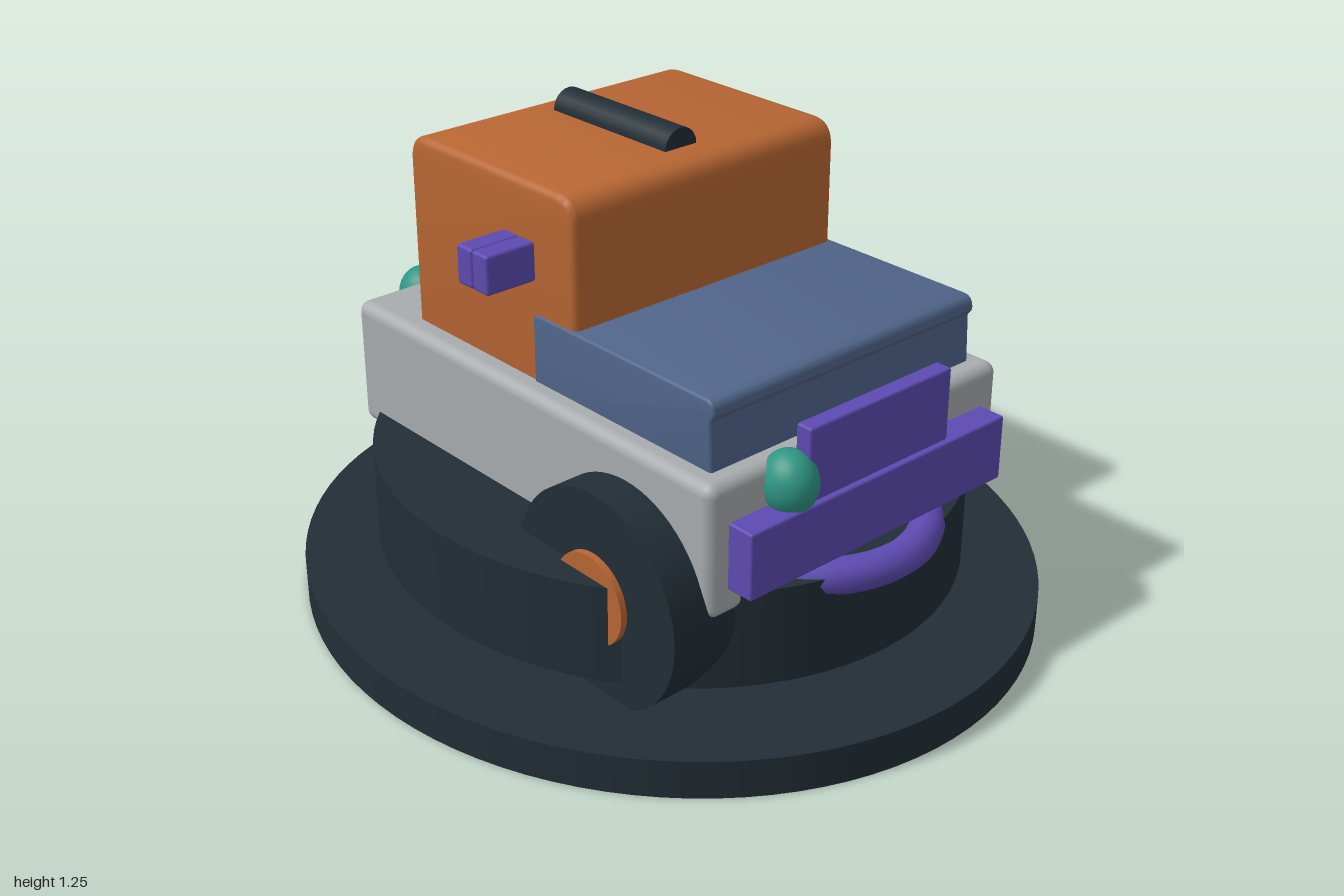
import * as THREE from 'three';
import { toCreasedNormals } from 'three/addons/utils/BufferGeometryUtils.js';
import { RoundedBoxGeometry } from 'three/addons/geometries/RoundedBoxGeometry.js';

export function createModel() {
  const root = new THREE.Group();
  root.name = 'carOnStand';

  const paint = (name, color) => {
    const m = new THREE.MeshStandardMaterial({ color });
    m.name = name;
    return m;
  };
  const dark = paint('charcoal', 0x222e36);
  const orange = paint('orange', 0xb86633);
  const blue = paint('slate blue', 0x50658a);
  const grey = paint('light grey', 0xa8acaf);
  const purple = paint('purple', 0x5d4bb2);
  const teal = paint('teal', 0x2f9583);

  const add = (name, geometry, material, x = 0, y = 0, z = 0) => {
    const mesh = new THREE.Mesh(geometry, material);
    mesh.name = name;
    mesh.position.set(x, y, z);
    root.add(mesh);
    return mesh;
  };

  // Profile in x/y, extruded along z with a small soft bevel
  const extrudeZ = (shape, halfDepth, bevel) => {
    const g = new THREE.ExtrudeGeometry(shape, {
      depth: 2 * (halfDepth - bevel), curveSegments: 8,
      bevelThickness: bevel, bevelSize: bevel, bevelOffset: -bevel, bevelSegments: 3,
    });
    g.translate(0, 0, bevel - halfDepth);
    return toCreasedNormals(g, 0.6);
  };

  // Oval stand and raised drum
  add('standBase', new THREE.CylinderGeometry(1, 1, 0.1, 96), dark, 0, 0.05, 0).scale.z = 0.92;
  add('standDrum', new THREE.CylinderGeometry(0.793, 0.793, 0.252, 96), dark, 0, 0.281, 0).scale.z = 0.922;

  // Lower body
  add('body', new RoundedBoxGeometry(1.35, 0.343, 0.96, 4, 0.03), grey, 0, 0.532, 0);

  // Cab with rounded roof edges
  const cab = new THREE.Shape();
  const l = -0.475, r = 0.155, top = 1.2, c = 0.065;
  cab.moveTo(l, 0.6);
  cab.lineTo(r, 0.6);
  cab.lineTo(r, top - c);
  cab.quadraticCurveTo(r, top, r - c, top);
  cab.lineTo(l + c, top);
  cab.quadraticCurveTo(l, top, l, top - c);
  cab.closePath();
  add('cab', extrudeZ(cab, 0.421, 0.018), orange);

  // Hood with a slight lip at its nose
  const hood = new THREE.Shape();
  hood.moveTo(0.005, 0.65);
  hood.lineTo(0.622, 0.65);
  hood.lineTo(0.614, 0.825);
  hood.lineTo(0.626, 0.842);
  hood.quadraticCurveTo(0.628, 0.878, 0.595, 0.878);
  hood.lineTo(0.025, 0.878);
  hood.quadraticCurveTo(0.005, 0.878, 0.005, 0.858);
  hood.closePath();
  add('hood', extrudeZ(hood, 0.426, 0.006), blue);

  // Roof bar, half sunk into the roof
  add('roofBar', new THREE.CylinderGeometry(0.05, 0.05, 0.42, 24), dark, -0.16, 1.2, 0).rotation.z = Math.PI / 2;

  // Single wheel with its hub
  add('wheel', new THREE.CylinderGeometry(0.274, 0.274, 0.186, 64), dark, 0.395, 0.34, 0.483).rotation.x = Math.PI / 2;
  add('wheelHub', new THREE.CylinderGeometry(0.115, 0.115, 0.1, 40), orange, 0.395, 0.347, 0.543).rotation.x = Math.PI / 2;

  // Split block in front of the cab
  for (const s of [-1, 1]) {
    add('splitBlock', new RoundedBoxGeometry(0.057, 0.098, 0.14, 2, 0.008), purple, s * 0.0285 - 0.003, 1.032, 0.52);
  }

  // Bumper, grille and rear post
  add('bumper', new RoundedBoxGeometry(0.08, 0.17, 0.845, 2, 0.006), purple, 0.707, 0.517, 0);
  add('grille', new RoundedBoxGeometry(0.046, 0.21, 0.465, 2, 0.006), purple, 0.708, 0.682, 0);
  add('rearPost', new THREE.CylinderGeometry(0.03, 0.03, 0.12, 20), purple, -0.46, 0.745, -0.375);

  // Curved bars and lamps at both ends
  for (const s of [-1, 1]) {
    const arc = new THREE.TorusGeometry(0.28, 0.044, 12, 24, Math.PI);
    arc.rotateX(Math.PI / 2);
    arc.rotateY(s * Math.PI / 2);
    add('curvedBar', arc, purple, s * 0.515, 0.391, 0);
    add('lamp', new THREE.SphereGeometry(0.068, 32, 20), teal, s * 0.692, 0.651, 0.255).scale.set(1.05, 1.15, 0.95);
  }

  return root;
}
